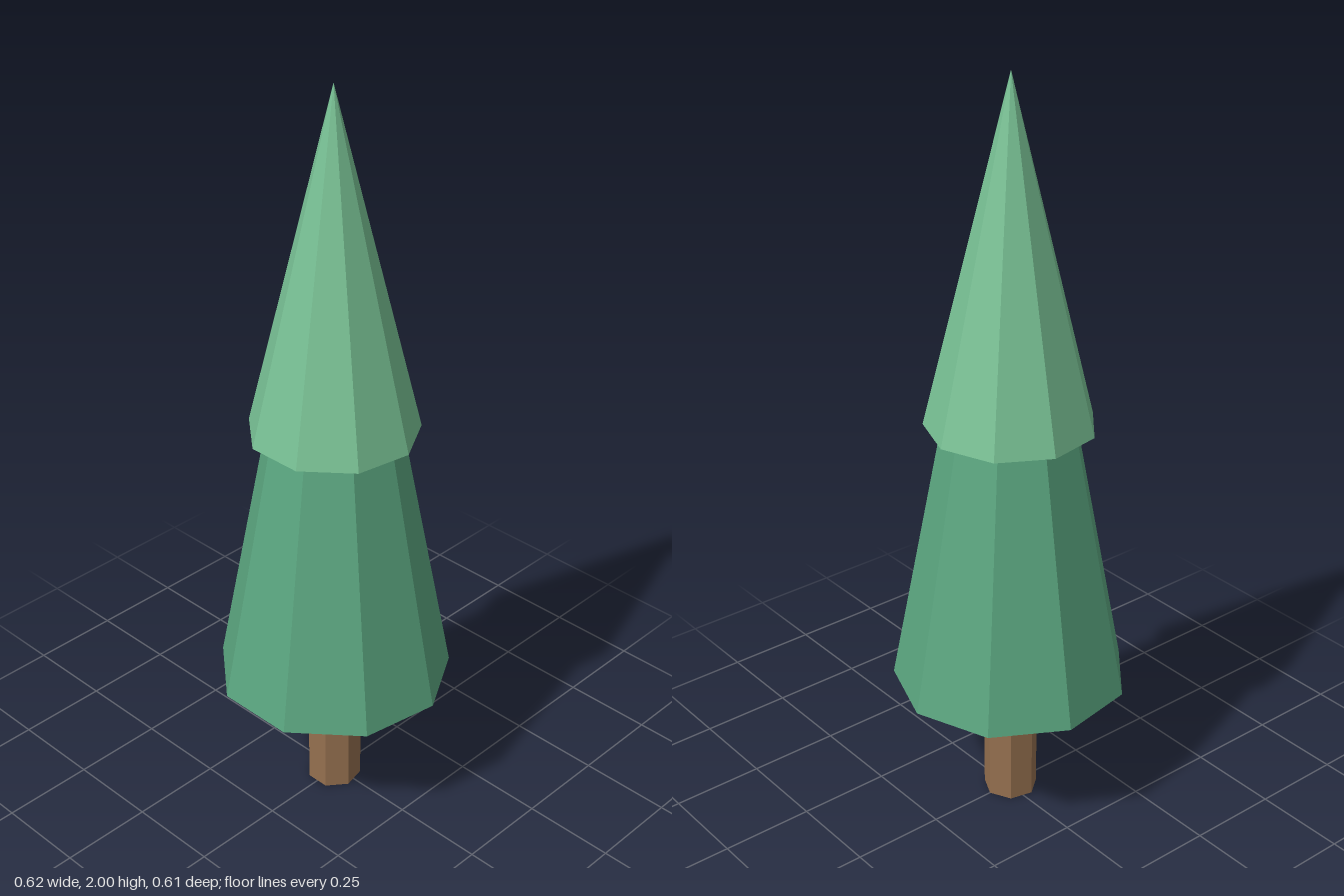
import * as THREE from 'three';

// Flat-shaded tapered prism with one corner pointing to the back (-z)
function tier(name, color, sides, rTop, rBottom, y0, y1) {
  const geometry = new THREE.CylinderGeometry(rTop, rBottom, y1 - y0, sides, 1, false, Math.PI);
  const mesh = new THREE.Mesh(geometry, new THREE.MeshStandardMaterial({ color, flatShading: true }));
  mesh.name = name;
  mesh.position.y = (y0 + y1) / 2;
  return mesh;
}

export function createModel() {
  const tree = new THREE.Group();
  tree.name = 'pineTree';

  // All tiers share one axis, offset so the odd-sided outline is centred
  const axis = new THREE.Group();
  axis.name = 'treeParts';
  axis.position.z = 0.0095;
  tree.add(axis);

  axis.add(
    tier('trunk', 0x95704f, 7, 0.073, 0.073, 0, 0.366),
    tier('lowerFoliage', 0x5ba680, 9, 0.174, 0.313, 0.366, 1.1),
    tier('upperFoliage', 0x78c194, 9, 0, 0.221, 1.1, 2),
  );
  return tree;
}
